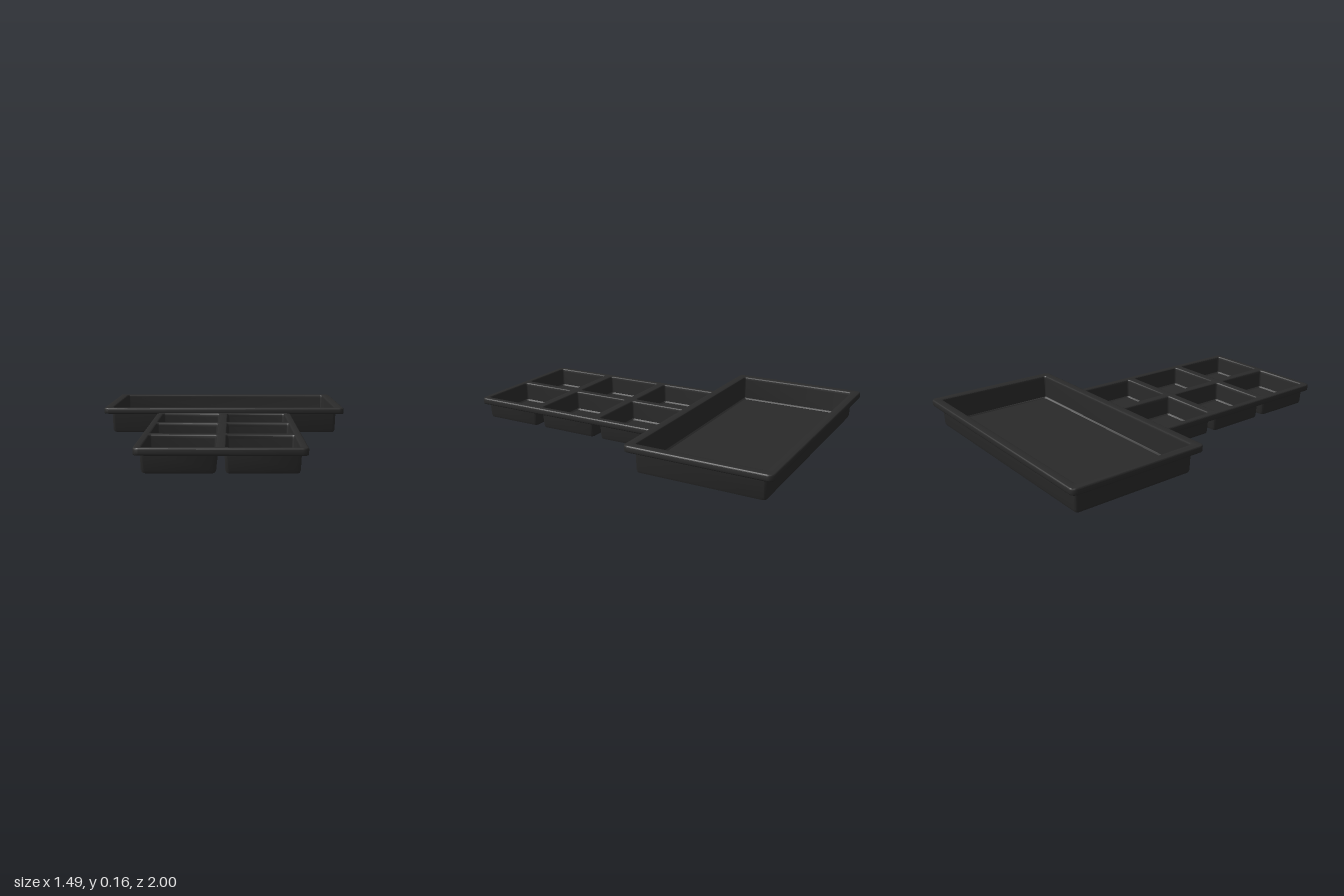
import * as THREE from 'three';
import { toCreasedNormals } from 'three/addons/utils/BufferGeometryUtils.js';

const CORNER_STEPS = 5;

// Points round a rectangle with rounded corners, as [x, z] offsets
function roundedRect(hx, hz, r) {
  const pts = [];
  [[1, 1], [-1, 1], [-1, -1], [1, -1]].forEach(([sx, sz], q) => {
    for (let k = 0; k <= CORNER_STEPS; k++) {
      const a = (q + k / CORNER_STEPS) * Math.PI / 2;
      pts.push([sx * (hx - r) + r * Math.cos(a), sz * (hz - r) + r * Math.sin(a)]);
    }
  });
  return pts;
}

// Skin through rounded rectangles [halfX, halfZ, y, cornerRadius]
function loft(sections) {
  const position = [], index = [];
  for (const [hx, hz, y, r] of sections) {
    for (const [x, z] of roundedRect(hx, hz, r)) position.push(x, y, z);
  }
  const n = 4 * (CORNER_STEPS + 1);
  for (let i = 0; i < sections.length - 1; i++) {
    for (let j = 0; j < n; j++) {
      const k = (j + 1) % n;
      const a = i * n + j, b = a + n, c = (i + 1) * n + k, d = i * n + k;
      index.push(a, b, c, a, c, d);
    }
  }
  const g = new THREE.BufferGeometry();
  g.setAttribute('position', new THREE.Float32BufferAttribute(position, 3));
  g.setIndex(index);
  return toCreasedNormals(g, 0.6);
}

// Open basin: underside, outer wall, lip, inner wall, floor
function basinGeometry(hx, hz, top, wall) {
  const e = 0.018, f = 0.014;
  return loft([
    [0, 0, 0, 0],
    [hx - e, hz - e, 0, 0.012],
    [hx - 0.009, hz - 0.009, 0.004, 0.016],
    [hx - 0.004, hz - 0.004, e, 0.02],
    [hx, hz, top, 0.02],
    [hx - wall, hz - wall, top, 0.014],
    [hx - wall - 0.004, hz - wall - 0.004, f + 0.008, 0.012],
    [hx - wall - 0.012, hz - wall - 0.012, f, 0.01],
    [0, 0, f, 0],
  ]);
}

// Flat rim with softened edges and one opening for each basin
function rimGeometry(hx, hz, bottom, top, holes) {
  const bevel = 0.007;
  const toPath = (pts) => pts.map(([x, z]) => new THREE.Vector2(x, z));
  const shape = new THREE.Shape(toPath(roundedRect(hx, hz, 0.03)));
  for (const { x, z, hx: w, hz: d } of holes) {
    shape.holes.push(new THREE.Path(
      toPath(roundedRect(w, d, 0.014).map(([px, pz]) => [px + x, pz - z]))));
  }
  const g = new THREE.ExtrudeGeometry(shape, {
    depth: top - bottom - 2 * bevel, bevelEnabled: true, bevelSegments: 3,
    bevelSize: bevel, bevelThickness: bevel, bevelOffset: -bevel,
  });
  g.rotateX(-Math.PI / 2);
  g.translate(0, bottom + bevel, 0);
  return toCreasedNormals(g, 0.6);
}

function makeTray(name, material, { hx, hz, z, bottom, top, cells, cellX, cellZ, wall }) {
  const tray = new THREE.Group();
  tray.name = name;
  tray.position.z = z;
  const holes = cells.map(([x, cz]) => ({ x, z: cz, hx: cellX - wall, hz: cellZ - wall }));
  const rim = new THREE.Mesh(rimGeometry(hx, hz, bottom, top, holes), material);
  rim.name = name + 'Rim';
  tray.add(rim);
  const geometry = basinGeometry(cellX, cellZ, (bottom + top) / 2, wall);
  for (const [x, cz] of cells) {
    const basin = new THREE.Mesh(geometry, material);
    basin.name = name + 'Basin';
    basin.position.set(x, 0, cz);
    tray.add(basin);
  }
  return tray;
}

export function createModel() {
  const model = new THREE.Group();
  model.name = 'plantTrays';
  const plastic = new THREE.MeshStandardMaterial({ color: 0x2a2a2a });
  plastic.name = 'black plastic';

  // Wide single-basin tray at the back
  model.add(makeTray('largeTray', plastic, {
    hx: 0.744, hz: 0.397, z: -0.603, bottom: 0.122, top: 0.158,
    cells: [[0, 0]], cellX: 0.699, cellZ: 0.354, wall: 0.007,
  }));

  // Six-cell tray at the front
  const cells = [];
  for (const x of [-0.198, 0.198]) for (const z of [-0.4, 0, 0.4]) cells.push([x, z]);
  model.add(makeTray('cellTray', plastic, {
    hx: 0.41, hz: 0.608, z: 0.392, bottom: 0.091, top: 0.128,
    cells, cellX: 0.181, cellZ: 0.181, wall: 0.007,
  }));
  return model;
}
